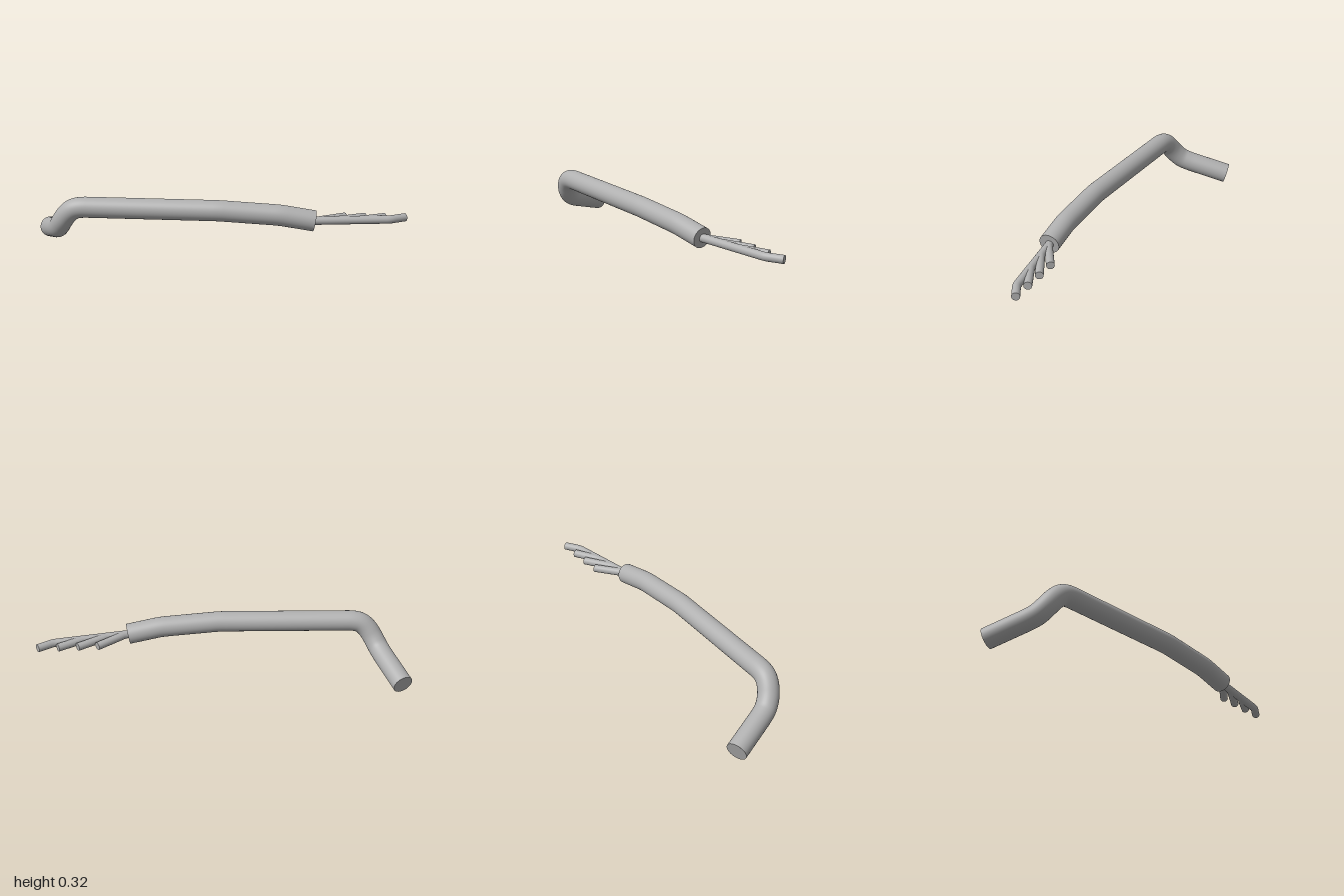
import * as THREE from 'three';

const V = (p) => new THREE.Vector3(...p);

// Polyline through the points, with every corner rounded over up to `reach`
function roundedPath(points, reach) {
  const pts = points.map(V);
  const path = new THREE.CurvePath();
  let from = pts[0];
  for (let i = 1; i < pts.length - 1; i++) {
    const [a, b, c] = [pts[i - 1], pts[i], pts[i + 1]];
    const enter = b.clone().lerp(a, Math.min(0.49, reach / a.distanceTo(b)));
    const leave = b.clone().lerp(c, Math.min(0.49, reach / b.distanceTo(c)));
    path.add(new THREE.LineCurve3(from, enter));
    path.add(new THREE.QuadraticBezierCurve3(enter, b, leave));
    from = leave;
  }
  path.add(new THREE.LineCurve3(from, pts[pts.length - 1]));
  return path;
}

// Round rod along a path, closed by a flat disc at each end
function rod(name, path, radius, steps, sides, material) {
  const group = new THREE.Group();
  group.name = name;
  const body = new THREE.Mesh(new THREE.TubeGeometry(path, steps, radius, sides), material);
  body.name = name + 'Body';
  group.add(body);
  for (const t of [0, 1]) {
    const cap = new THREE.Mesh(new THREE.CircleGeometry(radius, sides), material);
    const out = path.getTangentAt(t).multiplyScalar(t ? 1 : -1);
    cap.position.copy(path.getPointAt(t));
    cap.quaternion.setFromUnitVectors(new THREE.Vector3(0, 0, 1), out);
    cap.name = name + (t ? 'FrontCap' : 'BackCap');
    group.add(cap);
  }
  return group;
}

export function createModel() {
  const model = new THREE.Group();
  model.name = 'bentCable';
  const grey = new THREE.MeshStandardMaterial({ color: 0xb0b0b0 });
  grey.name = 'grey';

  // Thick sheath: short leg to the back, double bend, long run, slight droop
  const sheath = roundedPath([
    [-0.95, 0.053, -0.198], [-0.872, 0.12, 0.015], [-0.855, 0.14, 0.058],
    [-0.83, 0.185, 0.093], [-0.8, 0.23, 0.112], [-0.765, 0.26, 0.122],
    [-0.72, 0.27, 0.126], [0, 0.27, 0.163], [0.32, 0.249, 0.162], [0.5, 0.217, 0.153],
  ], 0.03);
  model.add(rod('sheath', sheath, 0.055, 240, 40, grey));

  // Thin wires: share one trunk line, then each turns to the back further along
  const root = V([0.48, 0.217, 0.153]), trunkEnd = V([0.9, 0.21, 0.094]);
  [[0.515, 0.665], [0.61, 0.77], [0.735, 0.875], [0.9, 0.982]].forEach(([bendX, tipX], i) => {
    const bend = root.clone().lerp(trunkEnd, (bendX - root.x) / (trunkEnd.x - root.x));
    const path = roundedPath([root.toArray(), bend.toArray(), [tipX, 0.208, 0.047]], 0.02);
    model.add(rod('wire' + (i + 1), path, 0.0215, 60, 24, grey));
  });
  return model;
}
